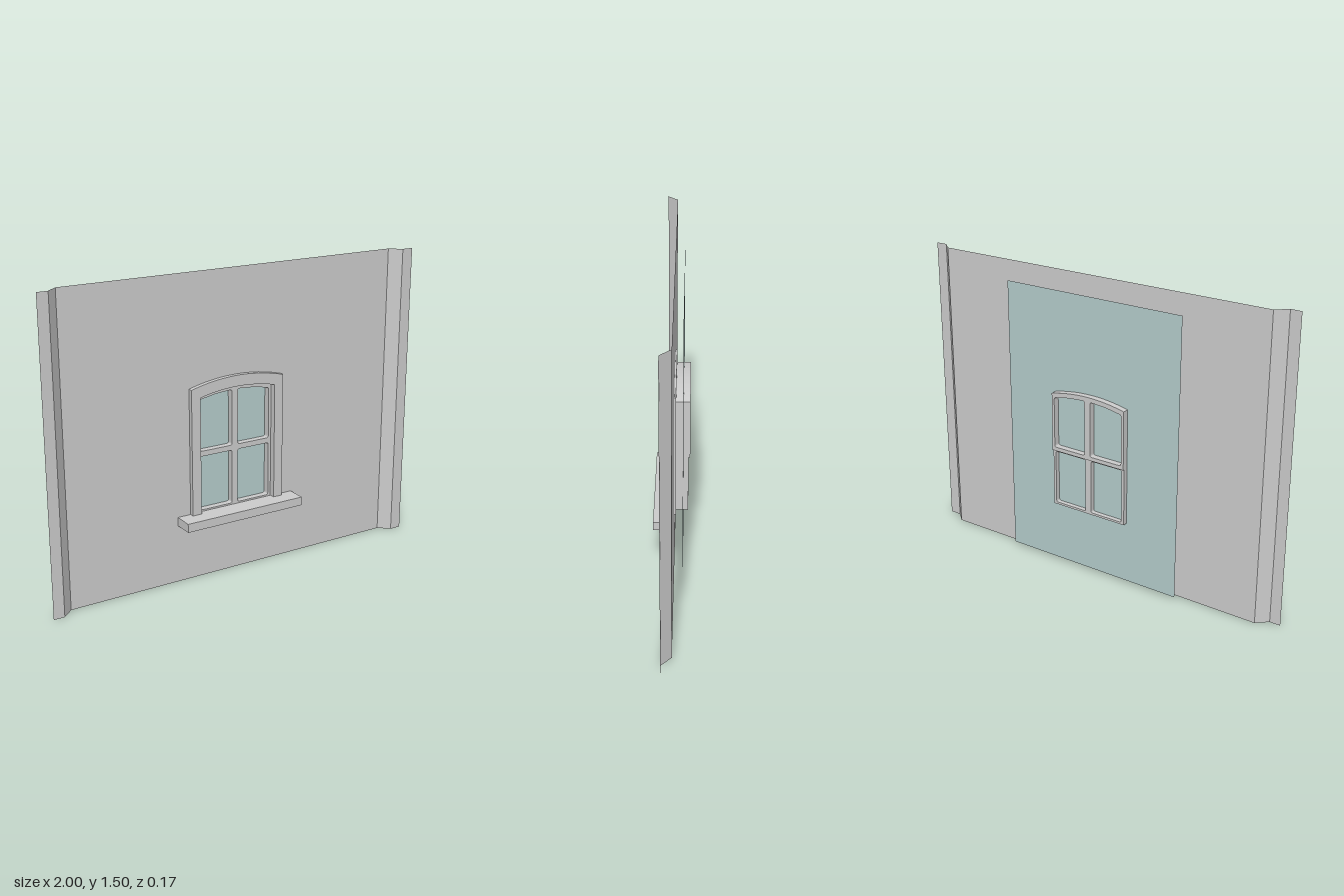
import * as THREE from 'three';

const CX = -0.003; // window axis
const grey = new THREE.MeshStandardMaterial({ color: 0xcccccc, side: THREE.DoubleSide, flatShading: true });
const glassMaterial = new THREE.MeshStandardMaterial({ color: 0xb4cccb, side: THREE.DoubleSide });

// Height of a shallow arch with crown height top and radius r at offset x
const archY = (x, top, r) => top - r + Math.sqrt(r * r - x * x);

// Outline with straight sides and an arched head, counter-clockwise
function archOutline(half, bottom, top, r) {
  const pts = [new THREE.Vector2(-half, bottom), new THREE.Vector2(half, bottom)];
  const n = 12;
  for (let i = 0; i <= n; i++) {
    const x = half - (2 * half * i) / n;
    pts.push(new THREE.Vector2(x, archY(x, top, r)));
  }
  return pts;
}

// Closed path through points with softened corners
function roundedPath(pts, r) {
  const path = new THREE.Path();
  pts.forEach((p, i) => {
    const prev = pts[(i + pts.length - 1) % pts.length];
    const next = pts[(i + 1) % pts.length];
    const a = prev.clone().sub(p).setLength(r).add(p);
    const b = next.clone().sub(p).setLength(r).add(p);
    if (i === 0) path.moveTo(a.x, a.y);
    else path.lineTo(a.x, a.y);
    path.quadraticCurveTo(p.x, p.y, b.x, b.y);
  });
  path.closePath();
  return path;
}

function addMesh(group, name, geometry, material = grey) {
  const mesh = new THREE.Mesh(geometry, material);
  mesh.name = name;
  group.add(mesh);
  return mesh;
}

// Extrude a shape between two depths
function addSlab(group, name, shape, back, front) {
  const geometry = new THREE.ExtrudeGeometry(shape, { depth: front - back, bevelEnabled: false, curveSegments: 3 });
  const mesh = addMesh(group, name, geometry);
  mesh.position.set(CX, 0, back);
}

// Upright strip of wall sheet between two plan points
function addStrip(group, name, x0, z0, x1, z1, height) {
  const strip = addMesh(group, name, new THREE.PlaneGeometry(Math.hypot(x1 - x0, z1 - z0), height));
  strip.position.set((x0 + x1) / 2, height / 2, (z0 + z1) / 2);
  strip.rotation.y = -Math.atan2(z1 - z0, x1 - x0);
}

export function createModel() {
  const model = new THREE.Group();
  model.name = 'wallWithWindow';
  const H = 1.5, wallZ = -0.012, edgeZ = 0.036;
  const left = -0.893, right = 0.888;

  // Thin wall sheet with an arched opening
  const wall = new THREE.Shape([
    new THREE.Vector2(left, 0), new THREE.Vector2(right, 0),
    new THREE.Vector2(right, H), new THREE.Vector2(left, H),
  ]);
  wall.holes.push(new THREE.Path(archOutline(0.206, 0.327, 0.936, 0.86).map((p) => p.setX(p.x + CX))));
  addMesh(model, 'wallPanel', new THREE.ShapeGeometry(wall)).position.z = wallZ;

  // Raised strips along both wall ends
  addStrip(model, 'leftSlope', right, wallZ, 0.941, edgeZ, H);
  addStrip(model, 'leftEdge', 0.941, edgeZ, 1, edgeZ, H);
  addStrip(model, 'rightSlope', -0.946, edgeZ, left, wallZ, H);
  addStrip(model, 'rightEdge', -1, edgeZ, -0.946, edgeZ, H);

  const win = new THREE.Group();
  win.name = 'window';
  model.add(win);

  // Arched surround, open at the bottom where it meets the sill
  const inner = archOutline(0.206, 0.332, 0.936, 0.86);
  const outer = archOutline(0.254, 0.332, 0.99, 0.94);
  const surround = new THREE.Shape([...outer.slice(1), outer[0], inner[0], ...inner.slice(2).reverse(), inner[1]]);
  addSlab(win, 'surround', surround, -0.02, 0.011);

  // Sill
  const sill = addMesh(win, 'sill', new THREE.BoxGeometry(0.647, 0.043, 0.102));
  sill.position.set(CX, 0.3105, 0.035);

  // Sashes, each with two softened pane openings
  const split = 0.617;
  const upper = new THREE.Shape(archOutline(0.206, split, 0.936, 0.86));
  const lower = new THREE.Shape([
    new THREE.Vector2(-0.206, 0.327), new THREE.Vector2(0.206, 0.327),
    new THREE.Vector2(0.206, split), new THREE.Vector2(-0.206, split),
  ]);
  for (const s of [-1, 1]) {
    const a = s * 0.016, m = s * 0.105, b = s * 0.192;
    const head = (x) => new THREE.Vector2(x, archY(x, 0.914, 0.82));
    upper.holes.push(roundedPath(
      [new THREE.Vector2(a, 0.636), new THREE.Vector2(b, 0.636), head(b), head(m), head(a)], 0.01));
    lower.holes.push(roundedPath(
      [[a, 0.338], [b, 0.338], [b, 0.61], [a, 0.61]].map((p) => new THREE.Vector2(...p)), 0.01));
  }
  addSlab(win, 'upperSash', upper, -0.086, -0.02);
  addSlab(win, 'lowerSash', lower, -0.078, -0.02);

  // Large glass sheet behind the wall
  const glass = addMesh(win, 'glass', new THREE.PlaneGeometry(0.966, 1.395), glassMaterial);
  glass.position.set(CX, 0.713, -0.054);

  return model;
}
